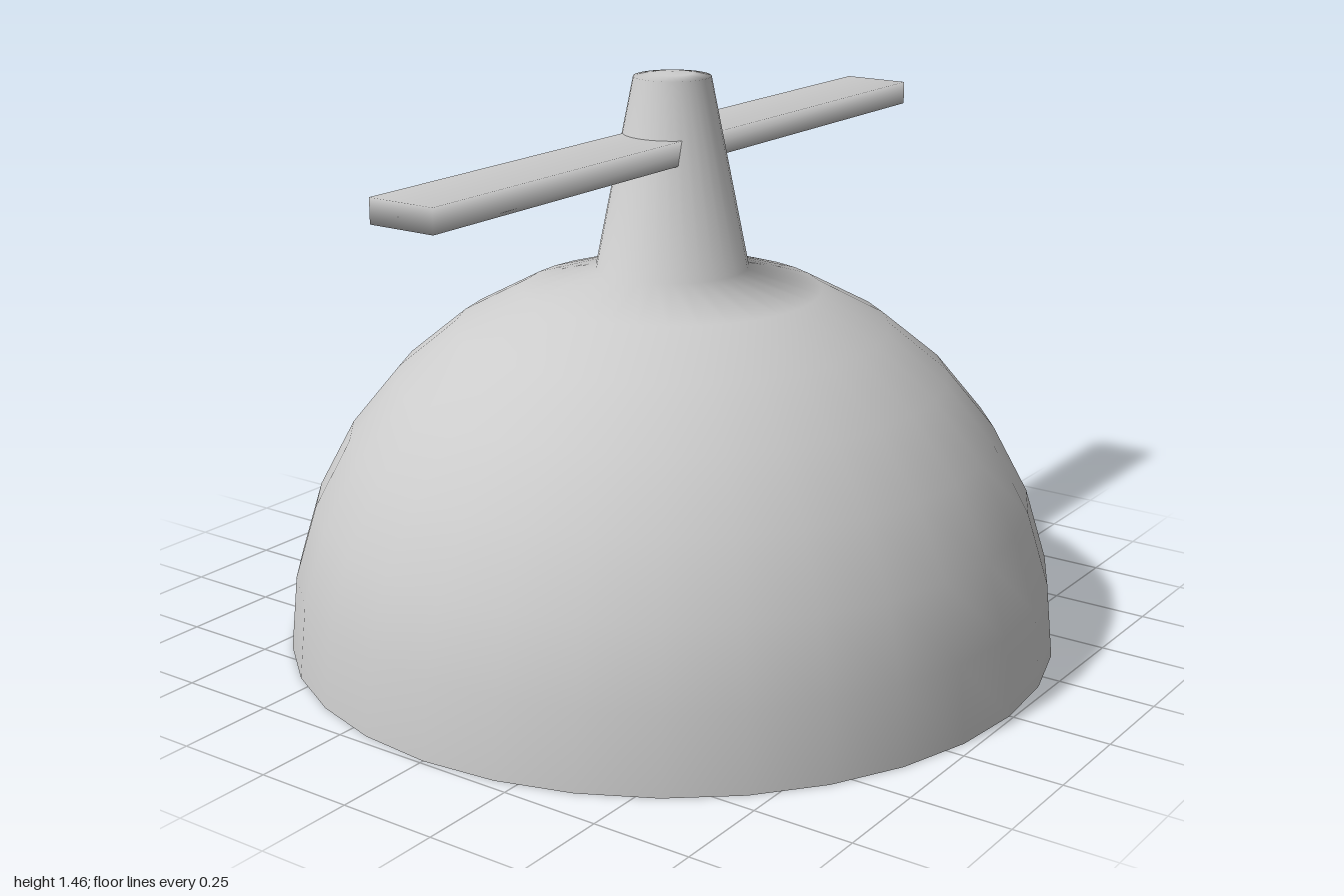
import * as THREE from 'three';
import { mergeVertices } from 'three/addons/utils/BufferGeometryUtils.js';

export function createModel() {
  const group = new THREE.Group();
  const material = new THREE.MeshStandardMaterial({ color: 0xcccccc, side: THREE.DoubleSide });

  const add = (name, geometry, y = 0) => {
    const mesh = new THREE.Mesh(geometry, material);
    mesh.name = name;
    mesh.position.y = y;
    group.add(mesh);
  };

  // Open hemispherical cap flowing into a tapered mast with a slightly domed tip
  const radius = 0.99;
  const profile = [];
  for (let i = 0; i <= 7; i++) {
    const a = (i / 16) * Math.PI;
    profile.push(new THREE.Vector2(radius * Math.cos(a), radius * Math.sin(a)));
  }
  profile.push(
    new THREE.Vector2(0.097, 1.45),
    new THREE.Vector2(0.05, 1.457),
    new THREE.Vector2(0, 1.46)
  );
  add('domeAndMast', new THREE.LatheGeometry(profile, 32));

  // Flat rotor bar through the mast, with softened shading over shared corners
  const bar = new THREE.BoxGeometry(0.18, 0.06, 2);
  bar.deleteAttribute('normal');
  bar.deleteAttribute('uv');
  const rotor = mergeVertices(bar);
  rotor.computeVertexNormals();
  add('rotorBlades', rotor, 1.28);

  return group;
}
